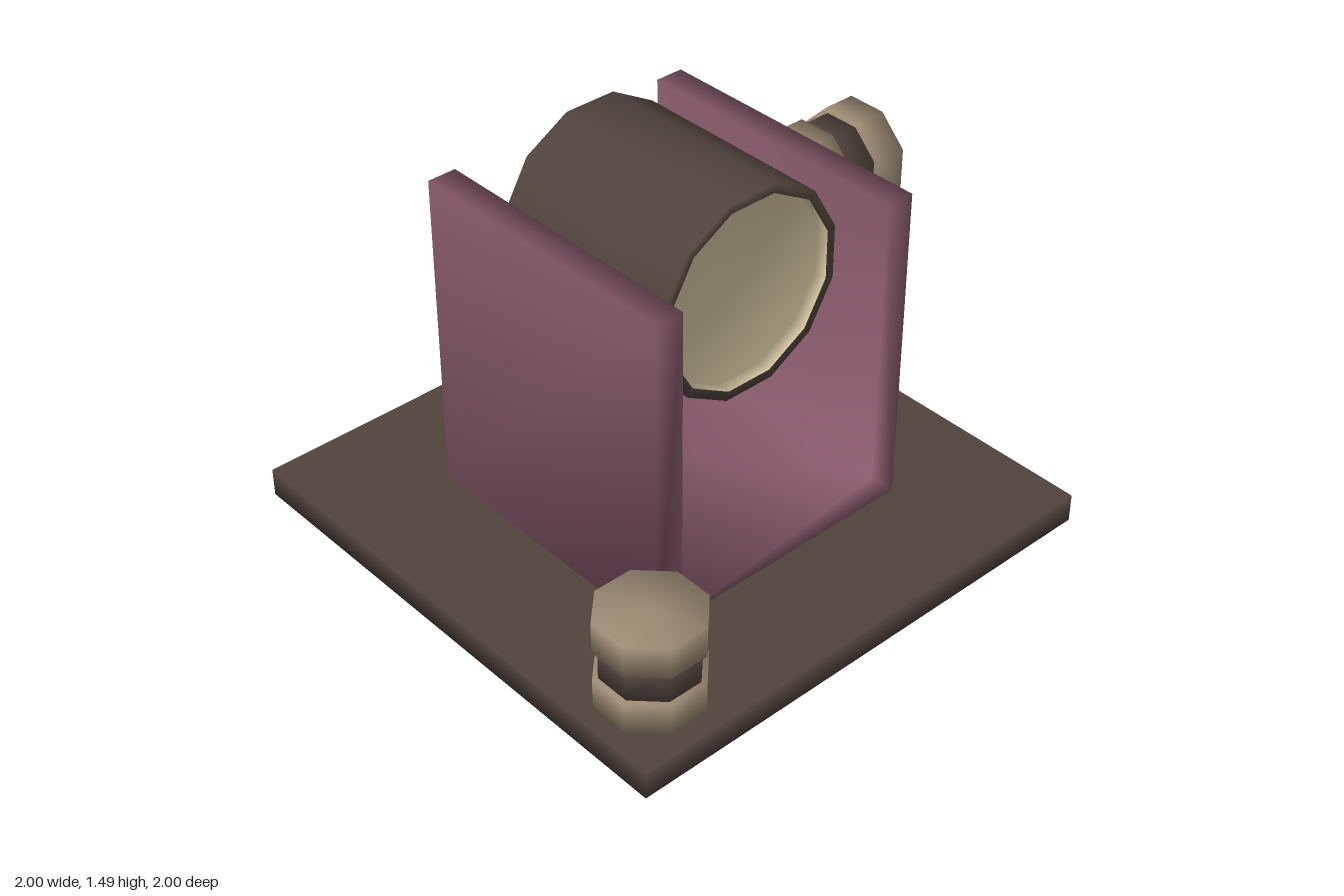
import * as THREE from 'three';
import { mergeVertices } from 'three/addons/utils/BufferGeometryUtils.js';

const material = (name, color) => {
  const m = new THREE.MeshStandardMaterial({ color });
  m.name = name;
  return m;
};

// Share all corners so the low-poly parts shade softly across edges
function soften(geometry) {
  geometry.deleteAttribute('normal');
  geometry.deleteAttribute('uv');
  const merged = mergeVertices(geometry);
  merged.computeVertexNormals();
  return merged;
}

// Prism along y with a flat side facing the axes; size is half the width across flats
function prism(apothem, height, sides) {
  const r = apothem / Math.cos(Math.PI / sides);
  return soften(new THREE.CylinderGeometry(r, r, height, sides, 1, false, Math.PI / sides));
}

// Lathe along z from [apothem, z] pairs
function turned(profile, sides) {
  const k = 1 / Math.cos(Math.PI / sides);
  const points = profile.map(([a, z]) => new THREE.Vector2(a * k, z));
  const g = new THREE.LatheGeometry(points, sides, Math.PI / sides);
  return soften(g.rotateX(Math.PI / 2));
}

export function createModel() {
  const model = new THREE.Group();
  model.name = 'swivelLamp';
  const dark = material('darkBrown', 0x50433b);
  const plum = material('plum', 0x85586a);
  const tan = material('tan', 0x9a8972);
  const cream = material('cream', 0xd0c19d);

  const add = (parent, name, geometry, mat, x = 0, y = 0, z = 0) => {
    const mesh = new THREE.Mesh(geometry, mat);
    mesh.name = name;
    mesh.position.set(x, y, z);
    parent.add(mesh);
    return mesh;
  };

  // Base plate
  add(model, 'base', soften(new THREE.BoxGeometry(2, 0.11, 2)), dark, 0, 0.055, 0);

  // U-shaped yoke
  const u = new THREE.Shape([
    [-0.555, 0.11], [0.555, 0.11], [0.555, 1.335], [0.445, 1.335],
    [0.445, 0.225], [-0.445, 0.225], [-0.445, 1.335], [-0.555, 1.335],
  ].map(([x, y]) => new THREE.Vector2(x, y)));
  const yoke = new THREE.ExtrudeGeometry(u, { depth: 1.11, bevelEnabled: false });
  add(model, 'yoke', soften(yoke.translate(0, 0, -0.555)), plum);

  // Lamp drum with a recessed reflector in front
  const y = 1.113;
  const drum = [[0, -0.39], [0.375, -0.39], [0.375, 0.39], [0.342, 0.39]];
  const reflector = [[0.342, 0.39], [0.342, 0.34], [0, 0.34]];
  add(model, 'lampDrum', turned(drum, 12), dark, 0, y, 0);
  add(model, 'reflector', turned(reflector, 12), cream, 0, y, 0);

  // Pivot pins
  for (const side of [-1, 1]) {
    const pin = add(model, side > 0 ? 'leftPin' : 'rightPin', prism(0.055, 0.12, 8), dark, side * 0.405, y, 0);
    pin.rotation.z = Math.PI / 2;
  }

  // Knobs: two caps around a narrower neck
  function knob(name) {
    const g = new THREE.Group();
    g.name = name;
    add(g, 'lowerCap', prism(0.18, 0.12, 8), tan, 0, 0.06, 0);
    add(g, 'neck', prism(0.162, 0.125, 8), dark, 0, 0.1775, 0);
    add(g, 'upperCap', prism(0.18, 0.12, 8), tan, 0, 0.295, 0);
    model.add(g);
    return g;
  }
  const sideKnob = knob('sideKnob');
  sideKnob.position.set(0.555, y, 0);
  sideKnob.rotation.z = -Math.PI / 2;
  sideKnob.scale.y = 1.03;
  knob('baseKnob').position.set(-0.755, 0.11, 0.75);

  return model;
}
